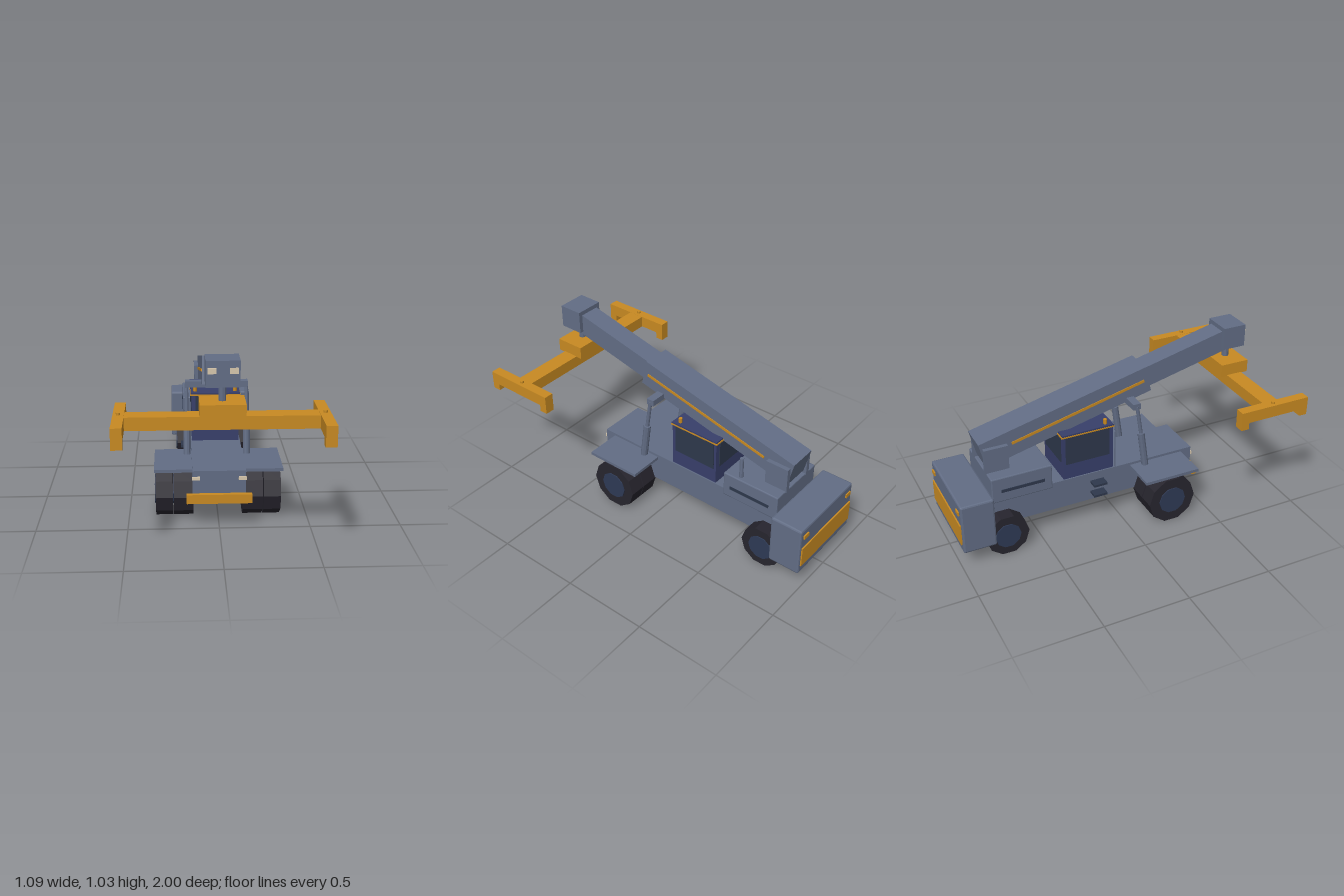
import * as THREE from 'three';
import { RoundedBoxGeometry } from 'three/addons/geometries/RoundedBoxGeometry.js';

export function createModel() {
  const root = new THREE.Group();
  root.name = 'containerHandler';

  const mat = (name, color) => {
    const m = new THREE.MeshStandardMaterial({ color, flatShading: true });
    m.name = name;
    return m;
  };
  const steel = mat('slate steel', 0x626d85);
  const orange = mat('safety orange', 0xc88a22);
  const navy = mat('cab navy', 0x383f6b);
  const glass = mat('dark glass', 0x2e384c);
  const hubMat = mat('hub blue', 0x2e3a55);
  const rubber = mat('tyre rubber', 0x27252e);
  const lamp = mat('lamp cream', 0xd8c8ae);

  const add = (name, geo, m, x = 0, y = 0, z = 0, parent = root) => {
    const mesh = new THREE.Mesh(geo, m);
    mesh.name = name;
    mesh.position.set(x, y, z);
    parent.add(mesh);
    return mesh;
  };
  // Box given by its limits on each axis
  const box = (name, m, [x0, x1], [y0, y1], [z0, z1], parent = root) =>
    add(name, new THREE.BoxGeometry(x1 - x0, y1 - y0, z1 - z0), m,
      (x0 + x1) / 2, (y0 + y1) / 2, (z0 + z1) / 2, parent);
  // The same box on both sides of the model
  const pair = (name, m, [x0, x1], ys, zs) => {
    box(name + 'Left', m, [x0, x1], ys, zs);
    box(name + 'Right', m, [-x1, -x0], ys, zs);
  };
  const rounded = (name, m, [x0, x1], [y0, y1], [z0, z1], r) =>
    add(name, new RoundedBoxGeometry(x1 - x0, y1 - y0, z1 - z0, 1, r), m,
      (x0 + x1) / 2, (y0 + y1) / 2, (z0 + z1) / 2);
  // Rod between two points
  const rod = (name, m, a, b, r, sides = 10) => {
    const p = new THREE.Vector3(...a), q = new THREE.Vector3(...b);
    const d = q.clone().sub(p);
    const mid = p.clone().add(q).multiplyScalar(0.5);
    const mesh = add(name, new THREE.CylinderGeometry(r, r, d.length(), sides), m, mid.x, mid.y, mid.z);
    mesh.quaternion.setFromUnitVectors(new THREE.Vector3(0, 1, 0), d.normalize());
    return mesh;
  };
  // Ten-sided wheel part lying along x, with a corner at top and bottom
  const disc = (name, m, r, x0, x1, y, z) => {
    const g = new THREE.CylinderGeometry(r, r, Math.abs(x1 - x0), 10);
    g.rotateY(Math.PI / 2);
    g.rotateZ(Math.PI / 2);
    g.rotateX(Math.PI / 2);
    return add(name, g, m, (x0 + x1) / 2, y, z);
  };

  // Chassis, bumper, headlights and mudguard plate
  box('chassis', steel, [-0.145, 0.145], [0.155, 0.335], [-0.82, 0.485]);
  box('frontBumper', orange, [-0.178, 0.178], [0.155, 0.207], [0.485, 0.512]);
  pair('headlight', lamp, [0.105, 0.148], [0.284, 0.303], [0.485, 0.493]);
  pair('mudguard', steel, [0.14, 0.355], [0.302, 0.32], [0.078, 0.418]);
  for (const y of [0.2, 0.27])
    box('cabStep', glass, [-0.202, -0.14], [y, y + 0.014], [-0.178, -0.095]);

  // Axles, doubled front wheels and single rear wheels
  box('frontAxle', hubMat, [-0.15, 0.15], [0.095, 0.195], [0.205, 0.305]);
  box('rearAxle', hubMat, [-0.15, 0.15], [0.085, 0.165], [-0.76, -0.68]);
  for (const s of [-1, 1]) {
    disc('frontTyreInner', rubber, 0.147, s * 0.138, s * 0.248, 0.147, 0.253);
    disc('frontTyreOuter', rubber, 0.147, s * 0.253, s * 0.348, 0.147, 0.253);
    disc('frontHub', hubMat, 0.084, s * 0.12, s * 0.354, 0.147, 0.253);
    disc('rearTyre', rubber, 0.126, s * 0.135, s * 0.225, 0.126, -0.72);
    disc('rearHub', hubMat, 0.076, s * 0.12, s * 0.231, 0.126, -0.72);
  }

  // Cab with windows, trimmed roof and beacons
  box('cabBody', navy, [-0.138, 0.138], [0.335, 0.612], [-0.34, -0.03]);
  box('roofTrim', orange, [-0.147, 0.147], [0.609, 0.617], [-0.35, -0.025]);
  box('roof', navy, [-0.144, 0.144], [0.617, 0.626], [-0.345, -0.028]);
  box('windscreen', glass, [-0.117, 0.117], [0.425, 0.609], [-0.03, -0.022]);
  box('rearWindow', glass, [-0.11, 0.11], [0.44, 0.6], [-0.346, -0.34]);
  pair('sideWindow', glass, [0.138, 0.143], [0.432, 0.607], [-0.325, -0.055]);
  rod('grabRail', steel, [-0.146, 0.34, -0.022], [-0.146, 0.575, -0.022], 0.004, 6);
  for (const s of [-1, 1])
    rod('beacon', orange, [s * 0.117, 0.624, -0.07], [s * 0.117, 0.655, -0.07], 0.011, 8);

  // Engine cover with side grilles and exhaust
  rounded('engineCover', steel, [-0.185, 0.185], [0.333, 0.487], [-0.785, -0.428], 0.006);
  pair('grille', glass, [0.184, 0.189], [0.393, 0.411], [-0.73, -0.475]);
  rod('exhaust', steel, [0.155, 0.48, -0.525], [0.155, 0.615, -0.525], 0.012, 8);

  // Counterweight with rear panel and lamps
  rounded('counterweight', steel, [-0.26, 0.26], [0.112, 0.415], [-0.99, -0.798], 0.01);
  box('rearPanel', orange, [-0.245, 0.245], [0.165, 0.292], [-0.998, -0.989]);
  pair('rearLamp', orange, [0.19, 0.235], [0.352, 0.374], [-0.998, -0.989]);

  // Boom pivot brackets
  pair('boomBracket', steel, [0.085, 0.11], [0.48, 0.632], [-0.79, -0.65]);

  // Telescopic boom, built along z in a tilted group whose origin is the rear end
  const boom = new THREE.Group();
  boom.name = 'boom';
  boom.position.set(0, 0.583, -0.791);
  boom.rotation.x = -Math.atan2(0.245, 1.01);
  root.add(boom);
  box('outerBoom', steel, [-0.084, 0.084], [-0.08, 0.08], [0, 1.04], boom);
  box('innerBoom', steel, [-0.061, 0.061], [-0.063, 0.063], [1.0, 1.6], boom);
  for (const s of [-1, 1])
    add('boomStripe', new THREE.BoxGeometry(0.005, 0.016, 0.835), orange, s * 0.0855, 0, 0.594, boom);

  // Boom head with work lamps and hanger
  box('boomHead', steel, [-0.085, 0.085], [0.904, 1.038], [0.712, 0.854]);
  pair('workLamp', lamp, [0.033, 0.075], [0.974, 1.003], [0.854, 0.862]);
  rod('hanger', steel, [0, 0.81, 0.782], [0, 0.91, 0.782], 0.02);

  // Lifting cylinders and the cross beam under the boom
  for (const s of [-1, 1]) {
    rod('liftBarrel', steel, [s * 0.17, 0.32, 0.163], [s * 0.17, 0.54, 0.133], 0.021);
    rod('liftPiston', steel, [s * 0.17, 0.53, 0.134], [s * 0.17, 0.72, 0.105], 0.011);
  }
  box('liftCrossBeam', steel, [-0.177, 0.177], [0.702, 0.738], [0.078, 0.125]);

  // Spreader: centre block, beam, end arms with feet and pins
  box('spreaderBlock', orange, [-0.115, 0.115], [0.745, 0.82], [0.692, 0.868]);
  box('spreaderBeam', orange, [-0.5, 0.5], [0.68, 0.749], [0.73, 0.826]);
  pair('spreaderArm', orange, [0.487, 0.544], [0.68, 0.75], [0.564, 1.0]);
  pair('spreaderFrontFoot', orange, [0.487, 0.544], [0.64, 0.681], [0.952, 1.0]);
  pair('spreaderRearFoot', orange, [0.487, 0.544], [0.64, 0.681], [0.564, 0.612]);
  for (const s of [-1, 1])
    rod('spreaderPin', orange, [s * 0.516, 0.74, 0.78], [s * 0.516, 0.762, 0.78], 0.011, 8);

  return root;
}
